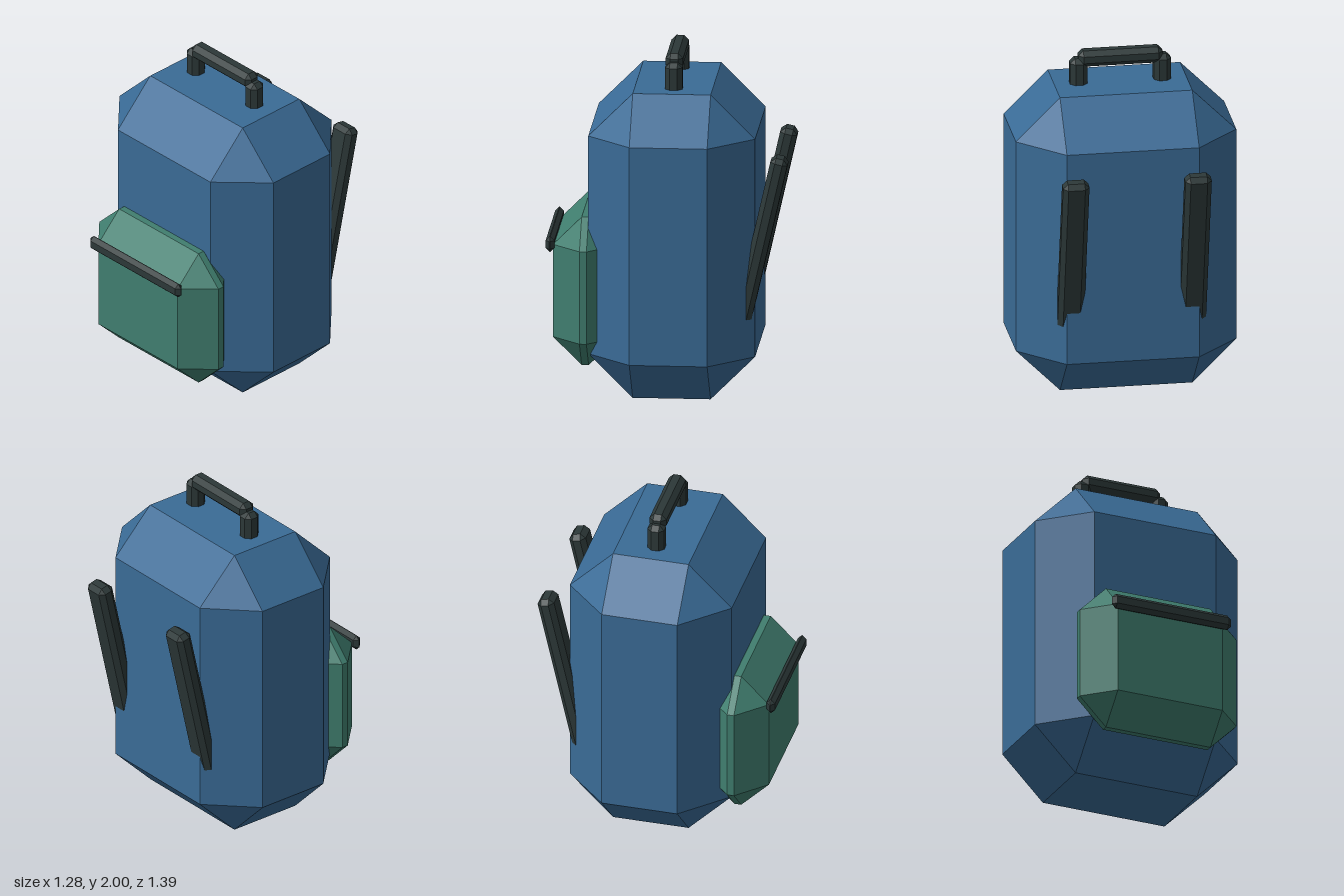
import * as THREE from 'three';
import { ConvexGeometry } from 'three/addons/geometries/ConvexGeometry.js';

const material = (name, color) => {
  const m = new THREE.MeshStandardMaterial({ color });
  m.name = name;
  return m;
};

// Box with every edge cut flat by c; each corner becomes a triangle.
function chamferBox(w, h, d, c) {
  const points = [];
  const x = w / 2, y = h / 2, z = d / 2;
  for (const sx of [-1, 1]) for (const sy of [-1, 1]) for (const sz of [-1, 1]) {
    points.push(
      new THREE.Vector3(sx * x, sy * (y - c), sz * (z - c)),
      new THREE.Vector3(sx * (x - c), sy * y, sz * (z - c)),
      new THREE.Vector3(sx * (x - c), sy * (y - c), sz * z)
    );
  }
  return new ConvexGeometry(points);
}

export function createModel() {
  const group = new THREE.Group();
  group.name = 'backpack';
  const blue = material('blue fabric', 0x3a6b96);
  const green = material('green fabric', 0x407e6f);
  const dark = material('dark webbing', 0x2c3838);

  const add = (name, size, chamfer, position, mat) => {
    const mesh = new THREE.Mesh(chamferBox(...size, chamfer), mat);
    mesh.name = name;
    mesh.position.set(...position);
    group.add(mesh);
    return mesh;
  };

  // Main bag and front pocket
  add('body', [1.28, 1.8, 0.96], 0.256, [0, 0.9, -0.03], blue);
  add('frontPocket', [0.99, 0.876, 0.37], 0.165, [0, 0.612, 0.472], green);
  add('pocketZip', [0.75, 0.09, 0.05], 0.023, [0, 0.89, 0.673], dark);

  // Carry handle
  add('handleBar', [0.49, 0.096, 0.1], 0.028, [0, 1.952, -0.032], dark);

  for (const side of [-1, 1]) {
    const label = side > 0 ? 'left' : 'right';
    add(label + 'HandlePost', [0.1, 0.2, 0.1], 0.028, [side * 0.243, 1.855, -0.032], dark);

    // Shoulder strap leaning away from the back
    const strap = add(label + 'Strap', [0.153, 1.05, 0.1], 0.028, [side * 0.355, 0.921, -0.5385], dark);
    strap.rotation.x = -0.222;
  }
  return group;
}
